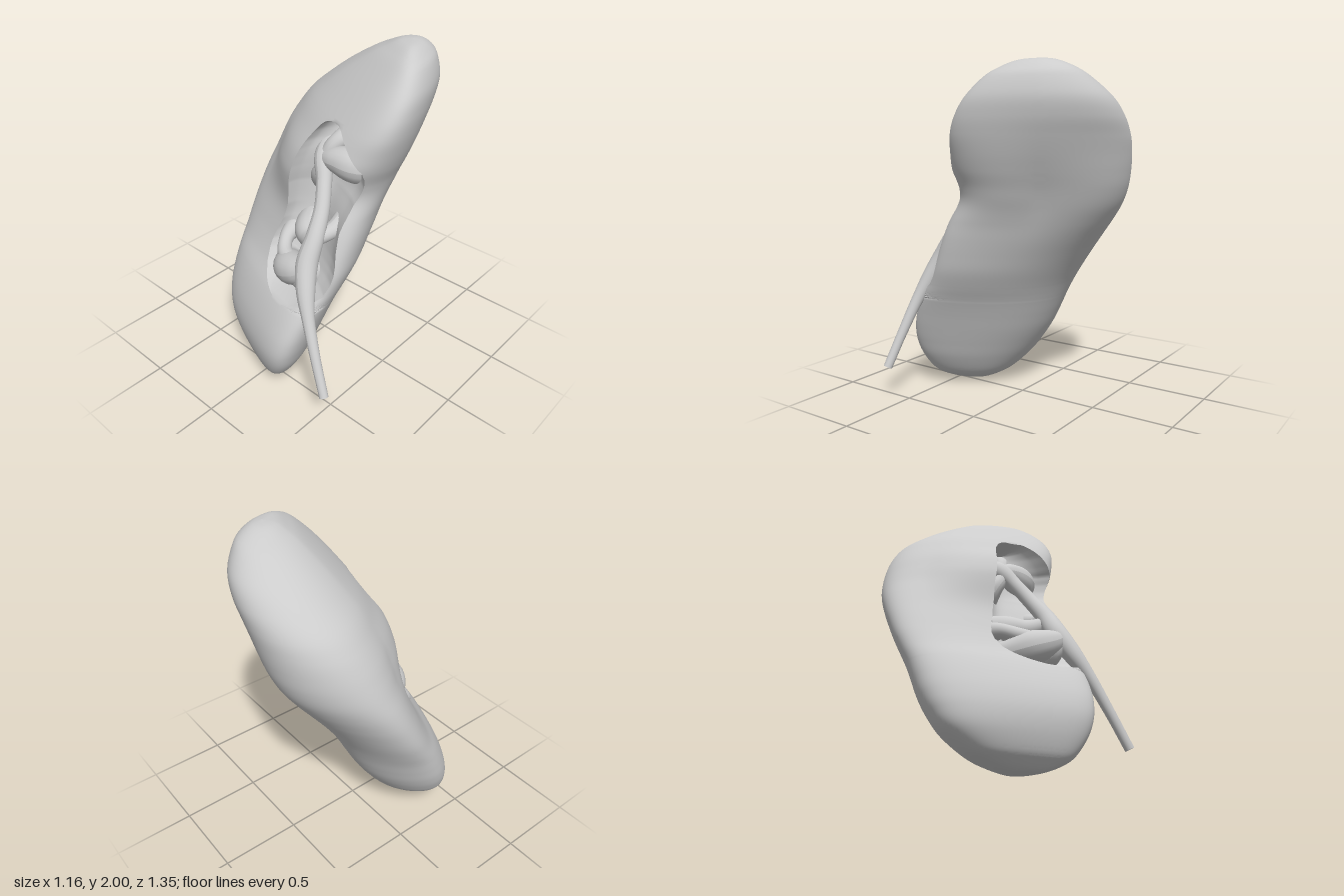
import * as THREE from 'three';
import { toCreasedNormals } from 'three/addons/utils/BufferGeometryUtils.js';

const material = new THREE.MeshStandardMaterial({ color: 0xcccccc, side: THREE.DoubleSide });
const { lerp, clamp, smoothstep } = THREE.MathUtils;

// Horizontal extents of the body: y, xMin, xMax, zFront, zBack
const SECTIONS = [
  [0, -0.06, -0.06, 0.42, 0.42], [0.012, -0.15, 0.03, 0.51, 0.33], [0.05, -0.26, 0.12, 0.575, 0.24],
  [0.1, -0.36, 0.18, 0.62, 0.165], [0.2, -0.47, 0.245, 0.66, 0.07], [0.3, -0.52, 0.285, 0.675, -0.005],
  [0.4, -0.545, 0.315, 0.66, -0.07], [0.5, -0.555, 0.34, 0.62, -0.122], [0.6, -0.562, 0.365, 0.56, -0.17],
  [0.7, -0.572, 0.39, 0.475, -0.222], [0.8, -0.58, 0.412, 0.415, -0.285], [0.9, -0.579, 0.421, 0.372, -0.355],
  [1.0, -0.572, 0.426, 0.335, -0.43], [1.1, -0.556, 0.427, 0.308, -0.505], [1.2, -0.53, 0.434, 0.287, -0.57],
  [1.3, -0.498, 0.462, 0.278, -0.612], [1.4, -0.46, 0.505, 0.26, -0.637], [1.5, -0.41, 0.54, 0.215, -0.655],
  [1.6, -0.34, 0.566, 0.17, -0.67], [1.7, -0.23, 0.578, 0.11, -0.675], [1.8, -0.1, 0.57, 0.03, -0.65],
  [1.9, 0.06, 0.525, -0.075, -0.575], [1.95, 0.16, 0.475, -0.15, -0.515], [1.988, 0.25, 0.41, -0.24, -0.43],
  [2, 0.33, 0.33, -0.35, -0.35],
];

// Front opening: y, left edge x, right edge x
const OPENING = [
  [0.6, 0.06, 0.16], [0.61, 0.015, 0.215], [0.625, -0.03, 0.27], [0.65, -0.075, 0.325], [0.7, -0.125, 0.372],
  [0.76, -0.147, 0.39], [0.81, -0.147, 0.395], [0.87, -0.13, 0.392], [0.95, -0.1, 0.38], [1.05, -0.077, 0.37],
  [1.2, -0.065, 0.385], [1.3, -0.045, 0.42], [1.36, -0.03, 0.436], [1.41, -0.015, 0.436], [1.46, 0.005, 0.4],
  [1.52, 0.04, 0.345], [1.57, 0.08, 0.285], [1.59, 0.11, 0.255], [1.605, 0.16, 0.22],
];
const LAST = OPENING[OPENING.length - 1];

function openingAt(y) {
  if (y <= OPENING[0][0]) return OPENING[0];
  if (y >= LAST[0]) return LAST;
  const i = OPENING.findIndex((row) => row[0] > y);
  const a = OPENING[i - 1], b = OPENING[i];
  return a.map((v, k) => lerp(v, b[k], (y - a[0]) / (b[0] - a[0])));
}

// Skewed oval slices; the arc within the opening sinks to form the hollow
function bodyGeometry() {
  const INNER = 40, OUTER = 72, RING = INNER + OUTER, ROWS = (SECTIONS.length - 1) * 9;
  const xs = new THREE.CatmullRomCurve3(SECTIONS.map((s) => new THREE.Vector3(s[1], s[0], s[2])), false, 'catmullrom');
  const zs = new THREE.CatmullRomCurve3(SECTIONS.map((s) => new THREE.Vector3(s[3], s[0], s[4])), false, 'catmullrom');
  const positions = [], indices = [];
  for (let i = 0; i <= ROWS; i++) {
    const px = xs.getPoint(i / ROWS), pz = zs.getPoint(i / ROWS), y = px.y;
    const cx = (px.x + px.z) / 2, ax = Math.max((px.z - px.x) / 2, 1e-5);
    const cz = (pz.x + pz.z) / 2, az = (pz.x - pz.z) / 2;
    // The notch beside the opening and the fuller upper back
    const notch = 0.47 * Math.exp(-(((y - 1.27) / (y < 1.27 ? 0.18 : 0.3)) ** 2));
    const backSkew = 0.4 - 0.2 * smoothstep(y, 1.0, 1.6);
    const [edgeY, xl, xr] = openingAt(y);
    const away = Math.min(1, Math.abs(y - edgeY) / 0.25);
    const angle = (x) => Math.acos(clamp((x - cx) / ax, -0.97, 0.97));
    const tr = lerp(angle(xr), 0.9, away), tl = lerp(angle(xl), 1.7, away);
    const depth = 0.54 * smoothstep(y, 0.6, 0.65) * (1 - smoothstep(y, 1.565, 1.605));
    for (let j = 0; j < RING; j++) {
      const inside = j < INNER;
      const s = inside ? j / INNER : (j - INNER) / OUTER;
      const t = inside ? lerp(tr, tl, s) : lerp(tl, tr + Math.PI * 2, s);
      const sink = inside ? depth * Math.pow(Math.sin(Math.PI * s), 0.5) : 0;
      const facing = Math.cos(t - Math.PI / 4);
      const skew = 0.43 + (facing > 0 ? 0.4 - notch : backSkew) * facing;
      positions.push(
        cx + ax * Math.cos(t) * (1 - sink * 0.7),
        y,
        cz + az * Math.sin(t + skew) * (1 - sink),
      );
      if (i < ROWS) {
        const a = i * RING + j, b = i * RING + (j + 1) % RING;
        indices.push(a, a + RING, b, b, a + RING, b + RING);
      }
    }
  }
  const g = new THREE.BufferGeometry();
  g.setAttribute('position', new THREE.Float32BufferAttribute(positions, 3));
  g.setIndex(indices);
  return toCreasedNormals(g, 0.75);
}

// Tube through points [x, y, z, radius]
function taperedTube(points, segments, sides = 22) {
  const curve = new THREE.CatmullRomCurve3(points.map((p) => new THREE.Vector3(p[0], p[1], p[2])));
  const radii = new THREE.CatmullRomCurve3(points.map((p, i) => new THREE.Vector3(i, p[3], 0)), false, 'catmullrom');
  const g = new THREE.TubeGeometry(curve, segments, 1, sides);
  const pos = g.attributes.position, v = new THREE.Vector3();
  for (let i = 0; i <= segments; i++) {
    const u = i / segments, c = curve.getPointAt(u);
    const r = radii.getPoint(curve.getUtoTmapping(u)).y;
    for (let j = 0; j <= sides; j++) {
      const k = i * (sides + 1) + j;
      v.fromBufferAttribute(pos, k).sub(c).multiplyScalar(r).add(c);
      pos.setXYZ(k, v.x, v.y, v.z);
    }
  }
  g.computeVertexNormals();
  return g;
}

export function createModel() {
  const model = new THREE.Group();
  const add = (name, geometry) => {
    const mesh = new THREE.Mesh(geometry, material);
    mesh.name = name;
    model.add(mesh);
    return mesh;
  };

  add('body', bodyGeometry());

  // Long outlet duct rising into the hollow
  add('duct', taperedTube([
    [0.555, 0.19, 0.62, 0.027], [0.455, 0.4, 0.582, 0.03], [0.36, 0.6, 0.535, 0.038], [0.295, 0.73, 0.485, 0.055],
    [0.245, 0.86, 0.42, 0.064], [0.235, 1.0, 0.34, 0.054], [0.205, 1.13, 0.25, 0.046], [0.15, 1.26, 0.17, 0.046],
    [0.09, 1.36, 0.1, 0.06], [0.06, 1.41, 0, 0.07],
  ], 80));
  const cap = add('ductEnd', new THREE.CircleGeometry(0.027, 22));
  cap.position.set(0.555, 0.19, 0.62);
  cap.lookAt(0.655, -0.02, 0.658);

  // Branches that flare into the wall of the hollow
  const branches = {
    lowerBranch: [[0.26, 0.83, 0.44, 0.045], [0.17, 0.78, 0.42, 0.085], [0.07, 0.74, 0.38, 0.1], [-0.02, 0.71, 0.29, 0.08], [-0.06, 0.7, 0.15, 0.09]],
    lowerSideBranch: [[0.12, 0.78, 0.4, 0.06], [0.01, 0.81, 0.36, 0.045], [-0.05, 0.85, 0.28, 0.045], [-0.08, 0.87, 0.14, 0.08]],
    bottomBranch: [[0.23, 0.79, 0.44, 0.05], [0.19, 0.73, 0.4, 0.075], [0.16, 0.7, 0.28, 0.09], [0.13, 0.7, 0.13, 0.1]],
    middleBranch: [[0.23, 0.95, 0.33, 0.045], [0.14, 0.91, 0.27, 0.065], [0.06, 0.91, 0.2, 0.09], [0, 0.93, 0.04, 0.11]],
    middleSideBranch: [[0.23, 0.98, 0.33, 0.045], [0.27, 1.01, 0.23, 0.05], [0.27, 1.05, 0.1, 0.07], [0.23, 1.07, -0.07, 0.1]],
    upperBranch: [[0.09, 1.36, 0.1, 0.05], [0.18, 1.37, 0.09, 0.08], [0.28, 1.36, 0.05, 0.11], [0.31, 1.35, -0.06, 0.12], [0.28, 1.34, -0.22, 0.1]],
    topBranch: [[0.1, 1.37, 0.09, 0.05], [0.13, 1.44, 0.06, 0.05], [0.16, 1.48, 0, 0.06], [0.17, 1.49, -0.13, 0.08]],
    leftBranch: [[0.11, 1.33, 0.12, 0.04], [0.05, 1.24, 0.1, 0.05], [0.03, 1.17, 0.04, 0.065], [0.02, 1.13, -0.1, 0.09]],
  };
  for (const [name, points] of Object.entries(branches)) add(name, taperedTube(points, 32));
  return model;
}
